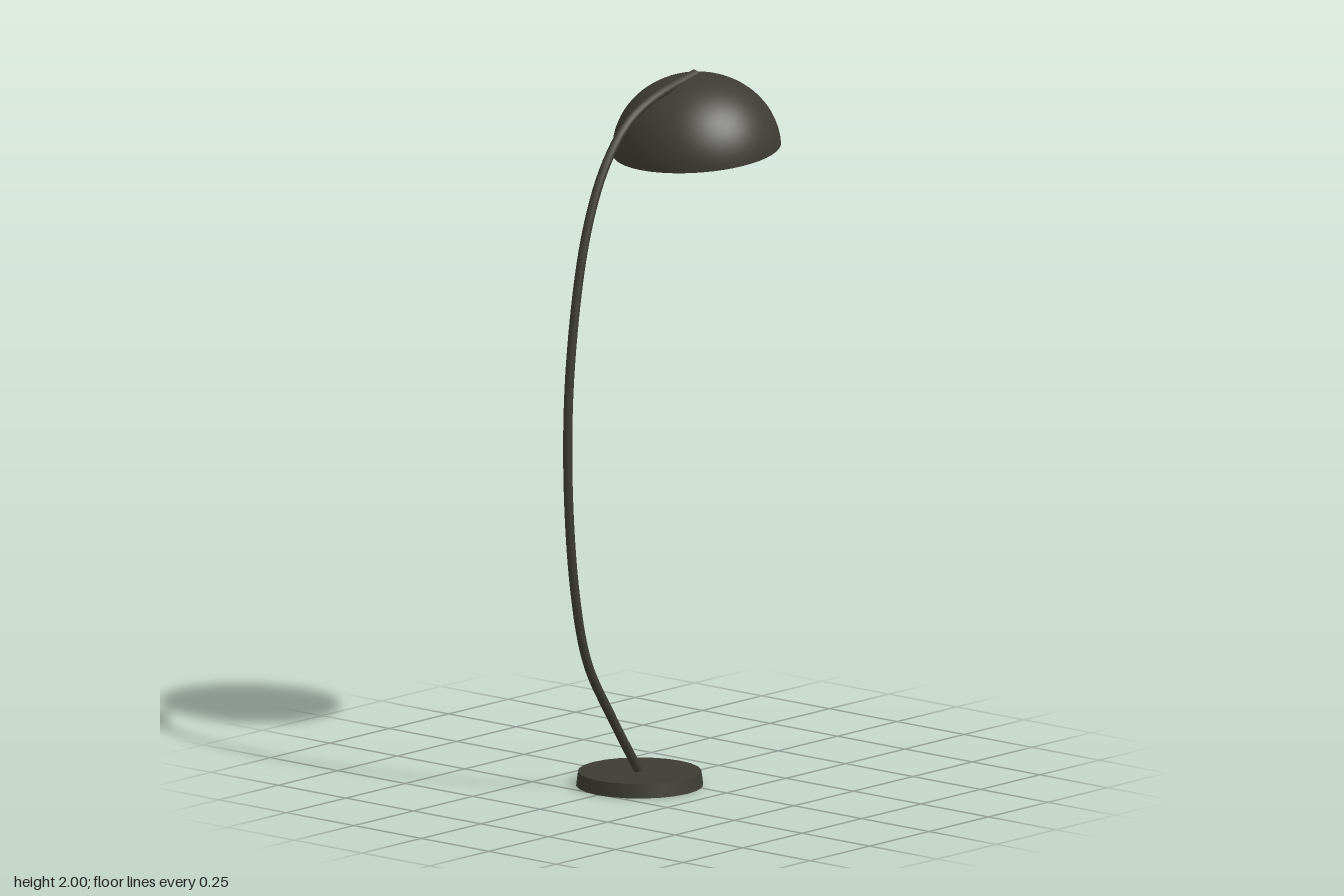
import * as THREE from 'three';

export function createModel() {
  const group = new THREE.Group();
  const darkMetal = new THREE.MeshStandardMaterial({ color: 0x3d3c34, side: THREE.DoubleSide });
  darkMetal.name = 'dark metal';
  const warmGlass = new THREE.MeshStandardMaterial({ color: 0xe8dccb });
  warmGlass.name = 'warm glass';

  const add = (parent, name, geometry, material, x = 0, y = 0, z = 0) => {
    const mesh = new THREE.Mesh(geometry, material);
    mesh.name = name;
    mesh.position.set(x, y, z);
    parent.add(mesh);
    return mesh;
  };

  // Round foot, tapering slightly upward
  add(group, 'base', new THREE.CylinderGeometry(0.172, 0.177, 0.04, 24), darkMetal, -0.082, 0.02, 0);

  // Bowed stem rising from the foot to the crown of the shade
  const path = new THREE.CatmullRomCurve3([
    [-0.075, 0.025], [-0.2, 0.212], [-0.302, 0.385], [-0.355, 0.6], [-0.384, 0.95],
    [-0.37, 1.27], [-0.308, 1.6], [-0.227, 1.785], [-0.13, 1.894], [-0.016, 1.948], [0.152, 1.986],
  ].map(([x, y]) => new THREE.Vector3(x, y, 0)));
  const stemRadius = 0.013;
  add(group, 'stem', new THREE.TubeGeometry(path, 80, stemRadius, 12), darkMetal);

  // Disc closing the upper end of the stem
  const tip = path.getPoint(1);
  const cap = add(group, 'stemCap', new THREE.CircleGeometry(stemRadius, 12), darkMetal, tip.x, tip.y, 0);
  cap.quaternion.setFromUnitVectors(new THREE.Vector3(0, 0, 1), path.getTangent(1));

  // Tilted lamp head: open dome with a bulb inside
  const head = new THREE.Group();
  head.name = 'lampHead';
  head.position.set(0.158, 1.772, 0);
  head.rotation.z = 0.097;
  group.add(head);

  const dome = new THREE.SphereGeometry(0.235, 48, 20, 0, Math.PI * 2, 0, Math.PI / 2);
  dome.scale(1, 0.905, 1);
  add(head, 'shade', dome, darkMetal);
  add(head, 'bulb', new THREE.SphereGeometry(0.055, 24, 16), warmGlass, 0, 0.07, 0);

  return group;
}
